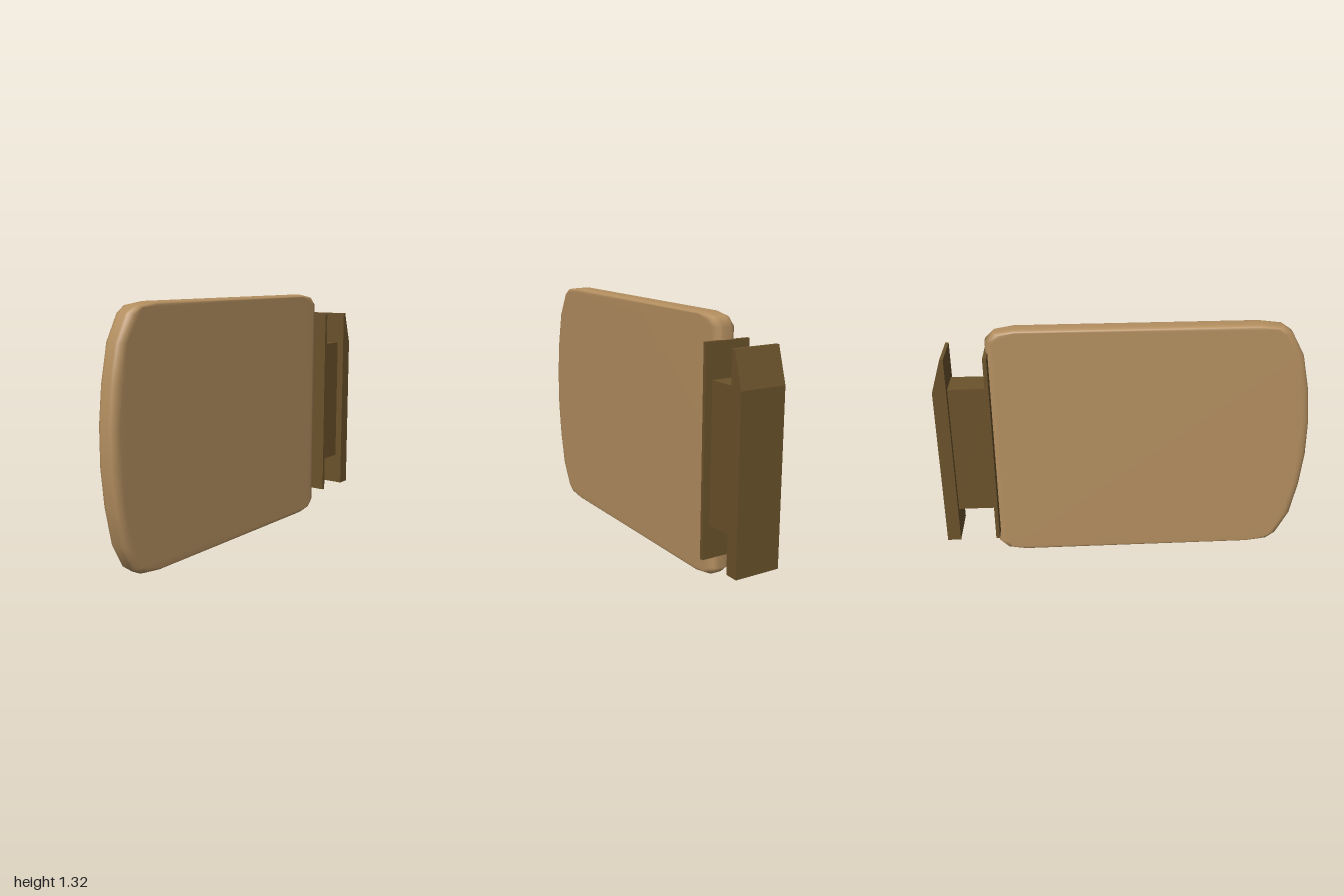
import * as THREE from 'three';
import { mergeVertices } from 'three/addons/utils/BufferGeometryUtils.js';

const tan = new THREE.MeshStandardMaterial({ color: 0xb48f60 });
tan.name = 'tan wood';
const brown = new THREE.MeshStandardMaterial({ color: 0x6b522b });
brown.name = 'dark brown wood';

// Extrudes a (z, y) outline along x, centred on x = 0
function extrudeAcross(points, width, options = {}) {
  const shape = new THREE.Shape(points.map(([z, y]) => new THREE.Vector2(z, y)));
  const geometry = new THREE.ExtrudeGeometry(shape, { depth: width, bevelEnabled: false, ...options });
  return geometry.translate(0, 0, -width / 2).rotateY(-Math.PI / 2);
}

function add(group, name, geometry, material) {
  const mesh = new THREE.Mesh(geometry, material);
  mesh.name = name;
  group.add(mesh);
  return mesh;
}

// Box given by its limits on y and z, centred on x
function slab(group, name, width, y0, y1, z0, z1) {
  const mesh = add(group, name, new THREE.BoxGeometry(width, y1 - y0, z1 - z0), brown);
  mesh.position.set(0, (y0 + y1) / 2, (z0 + z1) / 2);
}

// Padded board: bowed front edge, soft corners, edge rounding deeper in z than in y
function panelGeometry() {
  const middle = 0.66;
  const stretch = 3;
  const upper = [
    [1, 0.1], [0.98, 0.29], [0.94, 0.48], [0.87, 0.61], [0.82, 0.645], [0.7, 0.66],
    [-0.58, 0.66], [-0.68, 0.643], [-0.725, 0.6],
  ];
  const lower = upper.map(([z, y]) => [z, -y]).reverse();
  const outline = [...upper, ...lower].map(([z, y]) => [z, y * stretch]);
  const bevel = 0.045, rim = 0.035, half = 0.057;
  let geometry = extrudeAcross(outline, 2 * (half - rim), {
    bevelEnabled: true, bevelSize: bevel, bevelOffset: -bevel, bevelThickness: rim, bevelSegments: 4,
  });
  geometry.scale(1, 1 / stretch, 1).translate(0, middle, 0);
  // Shared vertices give the rounded rim smooth normals
  geometry.deleteAttribute('normal');
  geometry.deleteAttribute('uv');
  geometry.clearGroups();
  geometry = mergeVertices(geometry, 1e-4);
  geometry.computeVertexNormals();
  return geometry;
}

export function createModel() {
  const model = new THREE.Group();
  model.name = 'paddedPanel';

  add(model, 'panel', panelGeometry(), tan);

  // Mounting bracket behind the panel
  const bracket = new THREE.Group();
  bracket.name = 'bracket';
  model.add(bracket);
  slab(bracket, 'frontPlate', 0.25, 0.13, 1.2, -0.733, -0.713);
  slab(bracket, 'neck', 0.172, 0.305, 1.02, -0.94, -0.725);

  // Rear plate with a sloped top
  const profile = [[-0.928, 0.13], [-0.928, 1.2], [-0.946, 1.2], [-1, 1.02], [-1, 0.13]];
  add(bracket, 'rearPlate', extrudeAcross(profile, 0.25), brown);

  return model;
}
